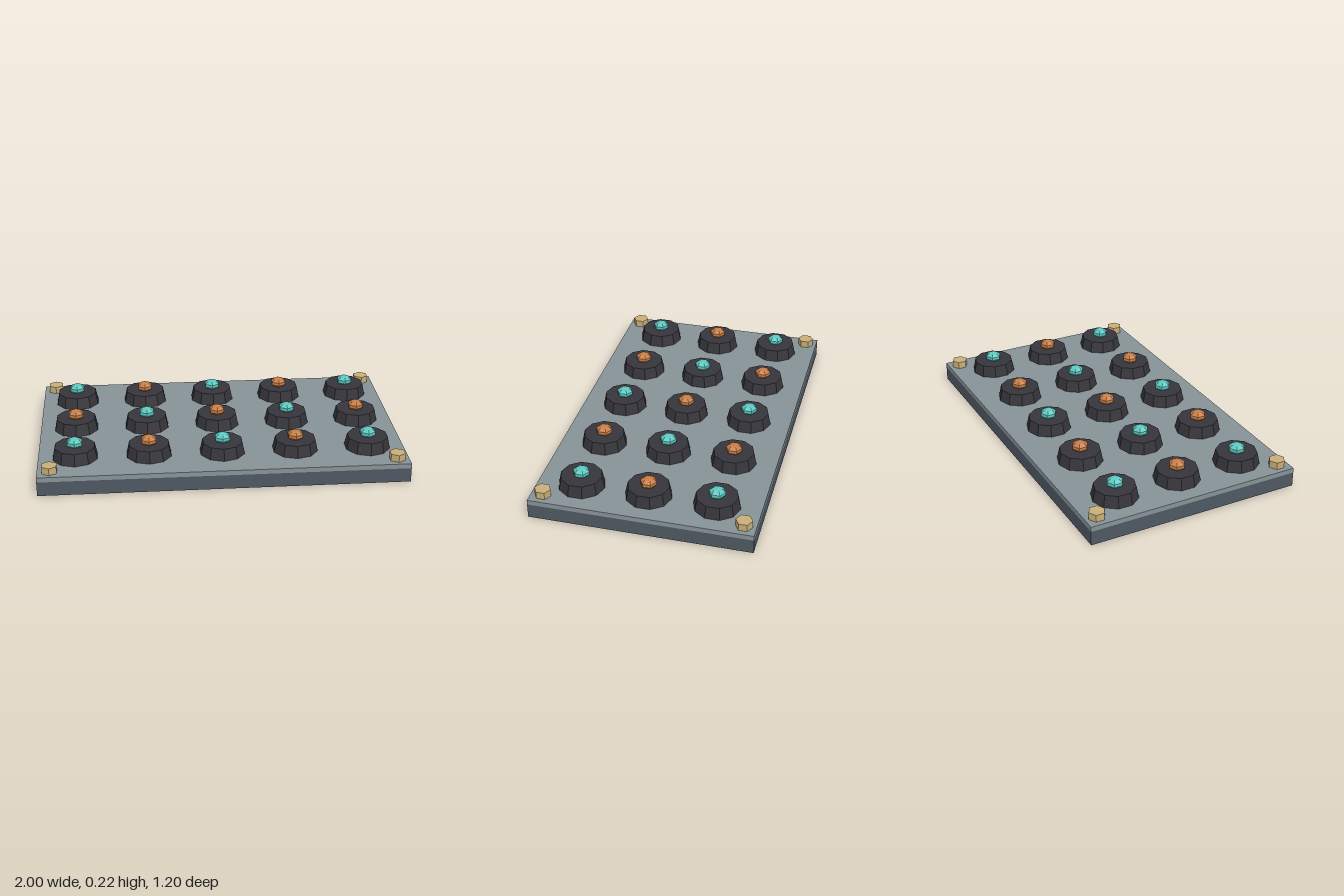
import * as THREE from 'three';

const mat = (name, color) => {
  const m = new THREE.MeshStandardMaterial({ color });
  m.name = name;
  return m;
};

// Faceted normals for the low-poly look
const faceted = (geometry) => {
  const g = geometry.toNonIndexed();
  g.computeVertexNormals();
  return g;
};

export function createModel() {
  const model = new THREE.Group();
  model.name = 'controlPanel';

  const slate = mat('darkSlate', 0x4e5862);
  const grey = mat('panelGrey', 0x869298);
  const black = mat('knobBlack', 0x35353b);
  const teal = mat('lampTeal', 0x5cc8c0);
  const orange = mat('lampOrange', 0xc87d45);
  const brass = mat('boltBrass', 0xc8ae78);

  const add = (parent, name, geometry, material, x, y, z) => {
    const mesh = new THREE.Mesh(geometry, material);
    mesh.name = name;
    mesh.position.set(x, y, z);
    parent.add(mesh);
    return mesh;
  };

  // Base and the lighter face plate on it
  const BASE = 0.08, TOP = 0.107;
  add(model, 'base', new THREE.BoxGeometry(2, BASE, 1.2), slate, 0, BASE / 2, 0);
  add(model, 'facePlate', new THREE.BoxGeometry(2, TOP - BASE, 1.2), grey, 0, (TOP + BASE) / 2, 0);

  // Grid of tapered ten-sided knobs, each with a six-sided lamp
  const knobHeight = 0.066;
  const knobGeometry = faceted(new THREE.CylinderGeometry(0.112, 0.126, knobHeight, 10));
  const lampProfile = [[0.036, -0.002], [0.045, 0.009], [0.045, 0.026], [0.027, 0.041], [0, 0.046]];
  const lampGeometry = faceted(new THREE.LatheGeometry(
    lampProfile.map(([r, y]) => new THREE.Vector2(r, y)), 6));

  for (let row = 0; row < 3; row++) {
    for (let col = 0; col < 5; col++) {
      const button = new THREE.Group();
      button.name = 'button';
      button.position.set((col - 2) * 0.4, TOP, (row - 1) * 0.365);
      add(button, 'knob', knobGeometry, black, 0, knobHeight / 2, 0);
      add(button, 'lamp', lampGeometry, (row + col) % 2 ? orange : teal, 0, knobHeight, 0);
      model.add(button);
    }
  }

  // Hexagonal corner bolts
  const boltGeometry = faceted(new THREE.CylinderGeometry(0.045, 0.045, 0.04, 6));
  for (const sx of [-1, 1]) {
    for (const sz of [-1, 1]) {
      add(model, 'cornerBolt', boltGeometry, brass, sx * 0.933, TOP + 0.02, sz * 0.535);
    }
  }

  return model;
}
